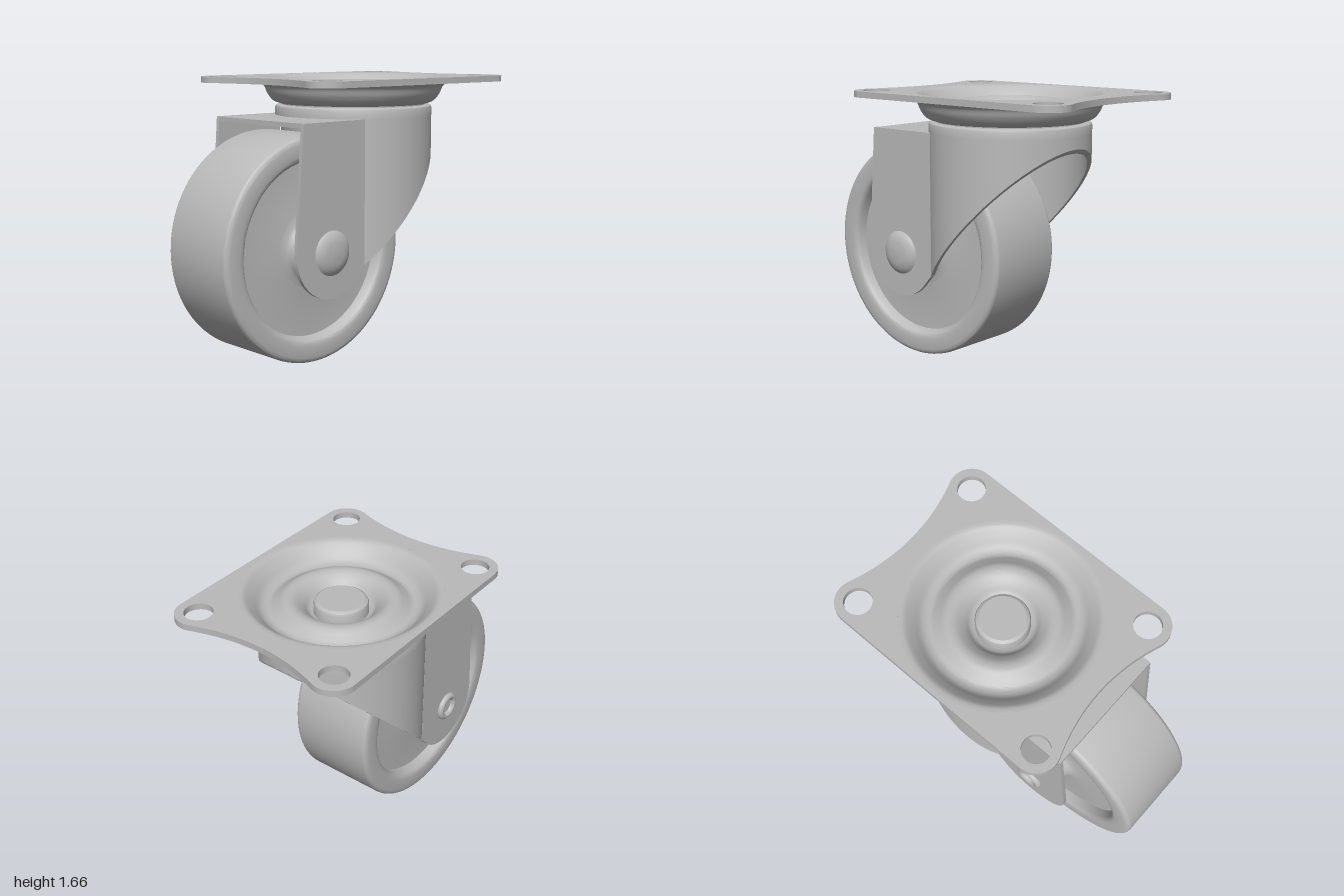
import * as THREE from 'three';
import { toCreasedNormals } from 'three/addons/utils/BufferGeometryUtils.js';

const metal = new THREE.MeshStandardMaterial({ color: 0xbababa });
metal.name = 'grey metal';

const SWIVEL_X = 0.215;
const AXLE = { x: -0.328, y: 0.675 };
const LEG_OUT = 0.395, LEG_IN = 0.37;

const v2 = (pts) => pts.map(([x, y]) => new THREE.Vector2(x, y));
const smooth = (pts, n) => new THREE.SplineCurve(v2(pts)).getPoints(n);

// Turned part; profile runs from bottom to top on the outside
function turned(points, segments = 72, crease = 0.6) {
  return toCreasedNormals(new THREE.LatheGeometry(points, segments), crease);
}

export function createModel() {
  const model = new THREE.Group();
  model.name = 'swivelCaster';
  const add = (name, geometry, x = 0, y = 0, z = 0) => {
    const mesh = new THREE.Mesh(geometry, metal);
    mesh.name = name;
    mesh.position.set(x, y, z);
    model.add(mesh);
    return mesh;
  };

  // Mounting plate: rounded ears, concave ends, four bolt holes
  const hx = 0.652, hz = 0.47, er = 0.133, a = 0.36;
  const outline = new THREE.Shape();
  const ctrl = hx + er * Math.cos(a) - (hz - er * Math.sin(a)) * Math.tan(a);
  const endX = hx + er * Math.cos(a), endZ = hz - er * Math.sin(a);
  outline.absarc(hx, hz, er, -a, Math.PI / 2, false);
  outline.absarc(-hx, hz, er, Math.PI / 2, Math.PI + a, false);
  outline.quadraticCurveTo(-ctrl, 0, -endX, -endZ);
  outline.absarc(-hx, -hz, er, Math.PI - a, Math.PI * 1.5, false);
  outline.absarc(hx, -hz, er, -Math.PI / 2, a, false);
  outline.quadraticCurveTo(ctrl, 0, endX, endZ);
  const holes = [[0, 0, 0.58]];
  for (const sx of [-1, 1]) for (const sz of [-1, 1]) holes.push([sx * hx, sz * hz, 0.082]);
  for (const [x, z, r] of holes) {
    outline.holes.push(new THREE.Path().absarc(x, z, r, 0, Math.PI * 2, true));
  }
  const plate = new THREE.ExtrudeGeometry(outline, { depth: 0.037, bevelEnabled: false, curveSegments: 36 });
  plate.rotateX(Math.PI / 2);
  add('mountingPlate', toCreasedNormals(plate, 0.6), SWIVEL_X, 1.665, 0);

  // Pressed bearing dish with a raised inner ring
  const dishUnder = smooth([[0.455, 1.5], [0.5, 1.518], [0.533, 1.56], [0.553, 1.605], [0.582, 1.628]], 20);
  const dishTop = smooth([[0.582, 1.665], [0.545, 1.658], [0.5, 1.62], [0.455, 1.575], [0.41, 1.562],
    [0.37, 1.583], [0.32, 1.613], [0.27, 1.61], [0.22, 1.575], [0.185, 1.535], [0.15, 1.52]], 50);
  add('bearingDish', turned([new THREE.Vector2(0, 1.5), ...dishUnder, ...dishTop]), SWIVEL_X);

  // King pin in the middle of the dish
  add('kingPin', turned(v2([[0, 1.5], [0.158, 1.5], [0.158, 1.575], [0.152, 1.59], [0.135, 1.6], [0, 1.6]]), 48, 0.5), SWIVEL_X);
  add('kingPinRivet', new THREE.CylinderGeometry(0.16, 0.16, 0.02, 48), SWIVEL_X, 1.425, 0);

  // Fork crown under the bearing
  add('forkCrown', turned(v2([[0, 1.43], [0.485, 1.43], [0.485, 1.475], [0.481, 1.486], [0.47, 1.492], [0, 1.492]])), SWIVEL_X);
  add('bearingGap', new THREE.CylinderGeometry(0.44, 0.44, 0.03, 64), SWIVEL_X, 1.497, 0);

  // Curved fork wall, its lower edge sliced along a diagonal plane
  const R = 0.485, T = 0.026, half = Math.acos((-0.085 - SWIVEL_X) / R);
  const wall = new THREE.LatheGeometry(
    v2([[R, 0], [R, 1.43], [R - T, 1.43], [R - T, 0], [R, 0]]), 72, Math.PI / 2 - half, half * 2);
  const p = wall.attributes.position;
  for (let i = 0; i < p.count; i++) {
    if (p.getY(i) < 0.5) p.setY(i, 1.36 + (p.getX(i) - R) * 1.03);
  }
  add('forkWall', toCreasedNormals(wall, 0.6), SWIVEL_X);

  // Flat fork legs around the axle
  const leg = new THREE.Shape();
  leg.moveTo(-0.07, 1.43);
  leg.lineTo(-0.545, 1.43);
  leg.lineTo(AXLE.x - 0.27, AXLE.y + 0.02);
  leg.absarc(AXLE.x, AXLE.y, 0.268, Math.PI, Math.PI * 1.75, false);
  leg.lineTo(-0.07, 0.565);
  const legGeo = toCreasedNormals(new THREE.ExtrudeGeometry(leg,
    { depth: LEG_OUT - LEG_IN, bevelEnabled: false, curveSegments: 32 }), 0.6);
  add('leftForkLeg', legGeo, 0, 0, LEG_IN);
  add('rightForkLeg', legGeo, 0, 0, -LEG_OUT);

  // Flat bridge joining the legs above the wheel
  add('forkBridge', new THREE.BoxGeometry(0.545, 0.027, LEG_OUT * 2 - 0.004), -0.2715, 1.4155, 0);

  // Wheel: tread, recessed web and flared hub, mirrored about its middle
  const side = [
    new THREE.Vector2(0, 0.268),
    ...smooth([[0.115, 0.268], [0.145, 0.258], [0.165, 0.235], [0.19, 0.212], [0.235, 0.2]], 14),
    ...v2([[0.522, 0.2], [0.532, 0.245]]),
    ...smooth([[0.537, 0.252], [0.55, 0.265], [0.575, 0.27]], 6),
    ...smooth([[0.642, 0.27], [0.662, 0.263], [0.672, 0.25], [0.675, 0.235]], 8),
  ];
  const wheelProfile = [
    ...side.map((q) => new THREE.Vector2(q.x, -q.y)),
    ...side.slice().reverse(),
  ];
  add('wheel', turned(wheelProfile, 96).rotateX(Math.PI / 2), AXLE.x, AXLE.y, 0);

  // Axle with a domed head on one side and a hollow rivet on the other
  add('axle', new THREE.CylinderGeometry(0.067, 0.067, 0.76, 40).rotateX(Math.PI / 2), AXLE.x, AXLE.y, 0);
  const dome = smooth([[0.134, 0], [0.11, 0.018], [0.07, 0.032], [0, 0.039]], 16);
  add('axleHead', turned(dome, 48).rotateX(Math.PI / 2), AXLE.x, AXLE.y, LEG_OUT - 0.001);
  const rivet = [
    ...smooth([[0.09, 0], [0.088, 0.014], [0.075, 0.026], [0.06, 0.024], [0.048, 0.008]], 16),
    ...v2([[0.046, 0.004], [0, 0.004]]),
  ];
  add('axleRivet', turned(rivet, 40).rotateX(-Math.PI / 2), AXLE.x, AXLE.y, -LEG_OUT + 0.001);

  return model;
}
